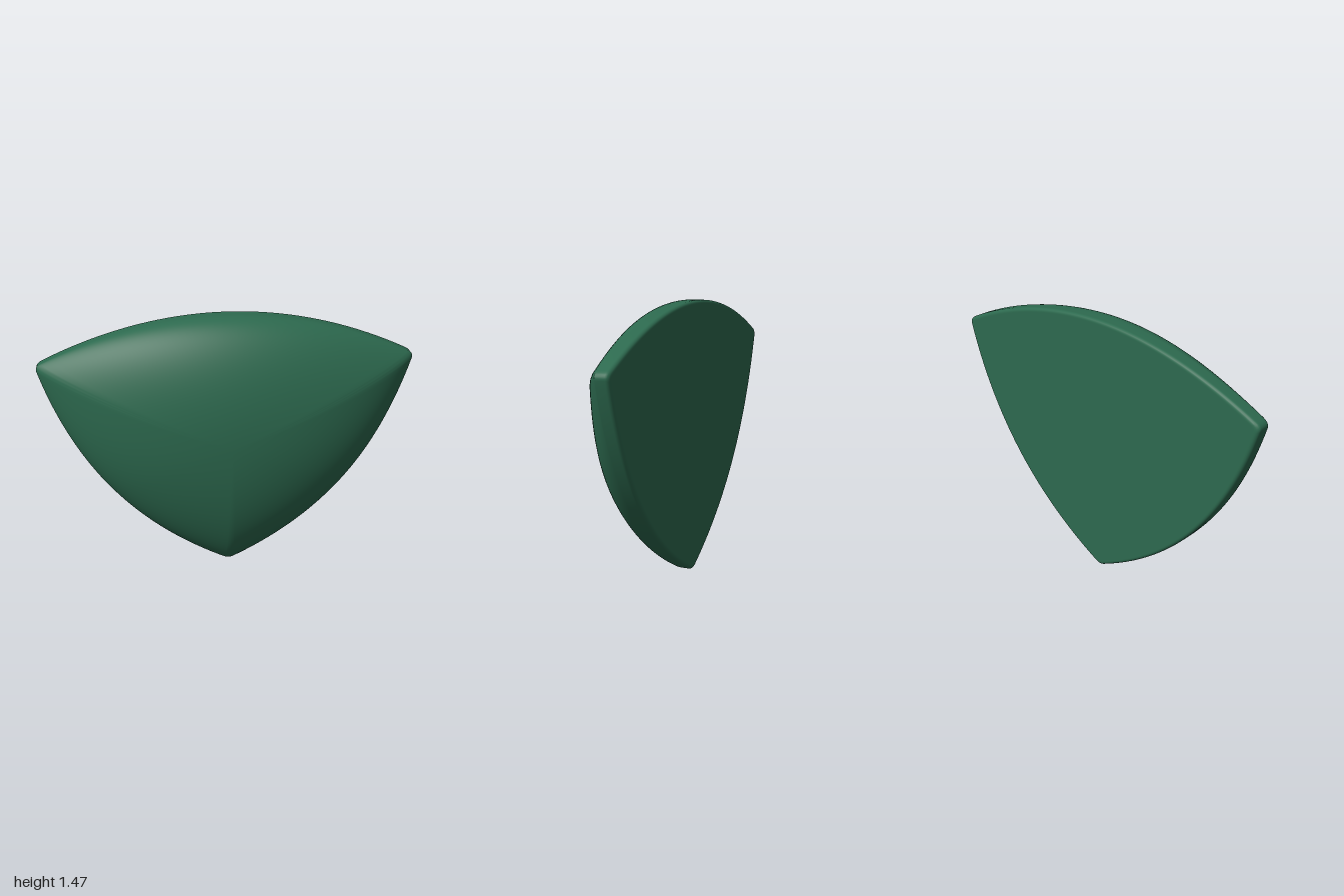
import * as THREE from 'three';

const CENTRE = new THREE.Vector2(0, 0.82);
const SIDE_STEPS = 48;

// Rounded-triangle outline, counter-clockwise from the front.
// Each point also carries the dome exponent used along its ray.
function makeOutline() {
  const corners = [
    { p: new THREE.Vector2(1.012, 1.215), k: 0.82 },
    { p: new THREE.Vector2(-1.012, 1.215), k: 0.82 },
    { p: new THREE.Vector2(0, -0.01), k: 0.58 },
  ];
  const bulges = [0.25, 0.18, 0.18];
  const trim = 0.016;
  const sidePoint = (i, u) => {
    const a = corners[i].p, b = corners[(i + 1) % 3].p;
    const d = b.clone().sub(a).normalize();
    const out = new THREE.Vector2(d.y, -d.x);
    return a.clone().lerp(b, u).addScaledVector(out, bulges[i] * 4 * u * (1 - u));
  };
  const points = [];
  for (let i = 0; i < 3; i++) {
    const next = (i + 1) % 3;
    // bowed side
    for (let j = 0; j <= SIDE_STEPS; j++) {
      const u = trim + (1 - 2 * trim) * (j / SIDE_STEPS);
      const w = (2 * u - 1) ** 2;
      const k = corners[u < 0.5 ? i : next].k;
      points.push({ p: sidePoint(i, u), k: 0.5 + (k - 0.5) * w });
    }
    // small rounded corner
    const curve = new THREE.QuadraticBezierCurve(
      sidePoint(i, 1 - trim), corners[next].p, sidePoint(next, trim));
    for (let j = 1; j < 5; j++) points.push({ p: curve.getPoint(j / 5), k: corners[next].k });
  }
  return points;
}

// Cross-section rings from the front apex out to the rim and onto the back.
function makeRings() {
  const rings = [];
  const domeSteps = 36;
  for (let i = 1; i <= domeSteps; i++) {
    const t = Math.sin((i / domeSteps) * Math.PI / 2);
    rings.push({ scale: t, z: k => -0.11 + 0.29 * Math.pow(Math.max(0, 1 - t * t), k) });
  }
  rings.push({ scale: 1, z: () => -0.135 });
  for (let i = 0; i <= 5; i++) {
    const a = (i / 5) * Math.PI / 2;
    rings.push({
      scale: 0.975 + 0.025 * Math.cos(a),
      z: () => -0.16 - 0.02 * Math.sin(a),
    });
  }
  rings.push({ scale: 0.968, z: () => -0.18 });
  return rings;
}

function makeBodyGeometry() {
  const outline = makeOutline();
  const rings = makeRings();
  const n = outline.length;
  const pos = [CENTRE.x, CENTRE.y, 0.18];
  const index = [];

  for (const ring of rings) {
    for (const { p, k } of outline) {
      const q = CENTRE.clone().lerp(p, ring.scale);
      pos.push(q.x, q.y, ring.z(k));
    }
  }
  const back = pos.length / 3;
  pos.push(CENTRE.x, CENTRE.y, -0.18);

  const last = 1 + (rings.length - 1) * n;
  for (let j = 0; j < n; j++) {
    const j2 = (j + 1) % n;
    index.push(0, 1 + j, 1 + j2); // front apex
    for (let r = 0; r < rings.length - 1; r++) {
      const a = 1 + r * n, b = a + n;
      index.push(a + j, b + j, b + j2, a + j, b + j2, a + j2);
    }
    index.push(back, last + j2, last + j); // flat back
  }

  const geometry = new THREE.BufferGeometry();
  geometry.setAttribute('position', new THREE.Float32BufferAttribute(pos, 3));
  geometry.setIndex(index);
  geometry.computeVertexNormals();
  return geometry;
}

export function createModel() {
  const group = new THREE.Group();
  group.name = 'domedTriangle';
  const body = new THREE.Mesh(
    makeBodyGeometry(),
    new THREE.MeshStandardMaterial({ color: 0x2d6a4f }));
  body.name = 'body';
  group.add(body);
  return group;
}
